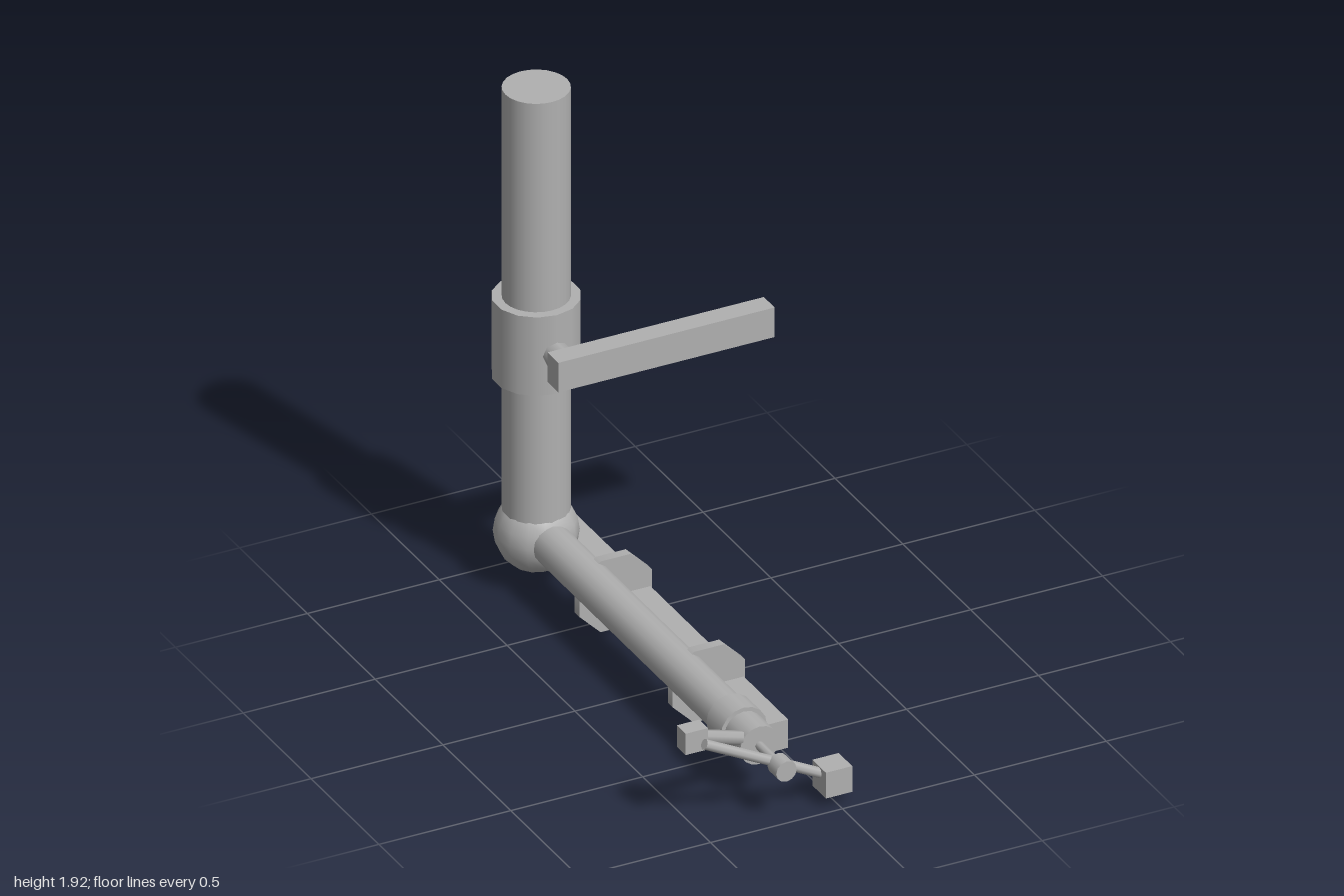
import * as THREE from 'three';

export function createModel() {
  const model = new THREE.Group();
  model.name = 'pipeAssembly';
  const grey = new THREE.MeshStandardMaterial({ color: 0xb0b0b0 });
  grey.name = 'plain grey';

  const PX = -0.212; // shared axis of the pipes
  const PY = 0.2;    // height of the horizontal pipe
  const PZ = -0.845; // depth of the upright pipe

  function add(name, geometry, x = 0, y = 0, z = 0) {
    const mesh = new THREE.Mesh(geometry, grey);
    mesh.name = name;
    mesh.position.set(x, y, z);
    model.add(mesh);
    return mesh;
  }

  // Box given by its two extreme corners
  function box(name, a, b) {
    const s = a.map((v, i) => b[i] - v);
    const c = a.map((v, i) => (v + b[i]) / 2);
    return add(name, new THREE.BoxGeometry(...s), ...c);
  }

  // Cylinder running from point a to point b
  function rod(name, a, b, radius, sides) {
    const from = new THREE.Vector3(...a);
    const dir = new THREE.Vector3(...b).sub(from);
    const length = dir.length();
    const mesh = add(name, new THREE.CylinderGeometry(radius, radius, length, sides));
    mesh.position.copy(from).addScaledVector(dir, 0.5);
    mesh.quaternion.setFromUnitVectors(new THREE.Vector3(0, 1, 0), dir.normalize());
    return mesh;
  }

  // Upright pipe with its collar and elbow ball
  rod('uprightPipe', [PX, PY, PZ], [PX, 1.92, PZ], 0.117, 24);
  rod('uprightCollar', [PX, 0.805, PZ], [PX, 1.11, PZ], 0.153, 14);
  add('elbowBall', new THREE.SphereGeometry(0.147, 14, 10), PX, PY, PZ);

  // Side bar held on a short stem
  rod('barStem', [PX, 0.955, -0.8], [PX, 0.955, -0.6], 0.048, 8);
  box('sideBar', [-0.28, 0.9, -0.63], [0.54, 1.015, -0.55]);

  // Horizontal pipe and its end collar
  rod('horizontalPipe', [PX, PY, PZ], [PX, PY, 0.8], 0.073, 16);
  rod('endCollar', [PX, PY, 0.58], [PX, PY, 0.685], 0.088, 16);

  // Ground beam with two octagonal clamp plates
  box('groundBeam', [-0.095, 0.02, -1], [0.01, 0.13, 0.58]);
  for (const z of [-0.453, 0.235]) {
    const clamp = rod('clampPlate', [-0.122, 0.1375, z - 0.018], [-0.122, 0.1375, z + 0.018], 0.1488, 8);
    clamp.rotateY(Math.PI / 8);
  }

  // Valve stem, hub and tilted cross rod
  rod('valveStem', [PX, PY, 0.78], [PX, PY, 0.95], 0.016, 8);
  rod('valveHub', [PX, PY, 0.935], [PX, PY, 1], 0.039, 12);
  rod('crossRod', [-0.485, 0.34, 0.925], [0, 0.09, 0.925], 0.019, 8);
  box('crossRodGrip', [-0.05, 0.04, 0.875], [0.05, 0.14, 0.975]);

  // Angled lever and its grip
  rod('lever', [-0.2, 0.195, 0.742], [-0.49, 0.345, 0.873], 0.025, 8);
  box('leverGrip', [-0.547, 0.305, 0.843], [-0.462, 0.388, 0.908]);

  return model;
}
